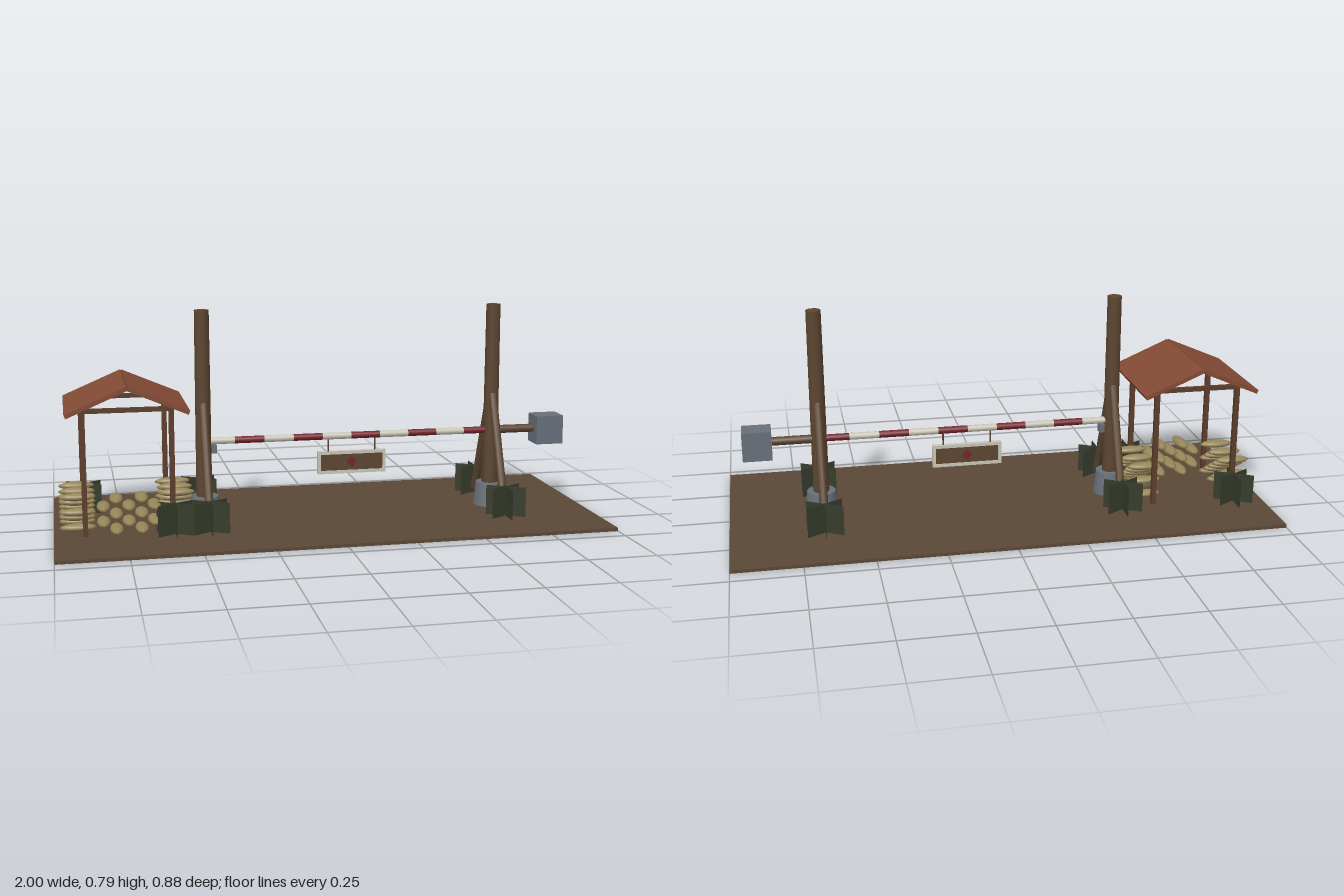
import * as THREE from 'three';

const mat = (name, color, extra = {}) => {
  const m = new THREE.MeshStandardMaterial({ color, ...extra });
  m.name = name;
  return m;
};

export function createModel() {
  const root = new THREE.Group();
  root.name = 'checkpointBarrier';
  const M = {
    earth: mat('earth', 0x5a4836),
    wood: mat('wood', 0x5c4530),
    hutWood: mat('hutWood', 0x5c3d2a),
    roof: mat('roofTiles', 0x824a34),
    stone: mat('stone', 0x68707a),
    green: mat('darkGreen', 0x363c2c, { side: THREE.DoubleSide }),
    sack: mat('sackcloth', 0x968558),
    red: mat('red', 0x74232b),
    white: mat('white', 0xc8c4b6),
  };

  const add = (parent, name, geo, m, x = 0, y = 0, z = 0) => {
    const mesh = new THREE.Mesh(geo, m);
    mesh.name = name;
    mesh.position.set(x, y, z);
    parent.add(mesh);
    return mesh;
  };
  const box = (parent, name, w, h, d, m, x, y, z) =>
    add(parent, name, new THREE.BoxGeometry(w, h, d), m, x, y, z);
  const group = (name, x = 0, y = 0, z = 0) => {
    const g = new THREE.Group();
    g.name = name;
    g.position.set(x, y, z);
    root.add(g);
    return g;
  };
  // Round bar between two points
  const rod = (parent, name, a, b, r, m) => {
    const p = new THREE.Vector3(...a), q = new THREE.Vector3(...b);
    const dir = q.clone().sub(p);
    const mesh = add(parent, name, new THREE.CylinderGeometry(r, r, dir.length(), 12), m);
    mesh.position.copy(p).add(q).multiplyScalar(0.5);
    mesh.quaternion.setFromUnitVectors(new THREE.Vector3(0, 1, 0), dir.normalize());
    return mesh;
  };

  // Ground slab
  box(root, 'ground', 2, 0.012, 0.88, M.earth, 0, 0.006, 0);

  // Bush: three upright plates crossed in a star
  const bush = (x, z) => {
    const g = group('bush', x, 0.068, z);
    for (let i = 0; i < 3; i++) {
      const p = add(g, 'bushPlate', new THREE.PlaneGeometry(0.15, 0.113), M.green);
      p.rotation.y = Math.PI / 2 + i * Math.PI / 3;
    }
  };

  // Gate posts with stone footings and two slanted braces each
  for (const x of [-0.45, 0.66]) {
    const g = group('gatePost', x);
    add(g, 'post', new THREE.CylinderGeometry(0.027, 0.03, 0.778, 12), M.wood, 0, 0.401, 0);
    add(g, 'footing', new THREE.CylinderGeometry(0.053, 0.063, 0.088, 12), M.stone, 0, 0.056, 0);
    for (const s of [-1, 1]) {
      rod(g, 'brace', [0, 0.035, s * 0.176], [0, 0.46, s * 0.008], 0.016, M.wood);
      bush(x, s * 0.19);
    }
  }
  bush(-0.575, 0.19);
  bush(-0.886, -0.19);

  // Striped barrier arm, rear pole, counterweight and catch
  const arm = group('barrierArm', 0, 0.305, 0);
  const n = 10, x0 = -0.445, step = 1.105 / n;
  for (let i = 0; i < n; i++) {
    const a = x0 + i * step;
    rod(arm, 'stripe', [a, 0, 0], [a + step, 0, 0], 0.013, i % 2 ? M.red : M.white);
  }
  rod(arm, 'rearPole', [0.66, 0, 0], [0.85, 0, 0], 0.016, M.wood);
  box(arm, 'counterweight', 0.107, 0.11, 0.088, M.stone, 0.885, -0.003, 0);
  box(arm, 'catch', 0.02, 0.03, 0.03, M.stone, -0.412, -0.03, 0);

  // Hanging sign with a pale frame and a red diamond on both faces
  const sign = group('hangingSign', 0.11, 0.204, 0);
  box(sign, 'signBoard', 0.245, 0.07, 0.01, M.wood, 0, 0, 0);
  for (const s of [-1, 1]) {
    box(sign, 'frameRail', 0.262, 0.012, 0.018, M.white, 0, s * 0.037, 0);
    box(sign, 'frameSide', 0.012, 0.062, 0.018, M.white, s * 0.125, 0, 0);
    rod(sign, 'hanger', [s * 0.09, 0.04, 0], [s * 0.09, 0.1, 0], 0.003, M.wood);
    const d = box(sign, 'diamond', 0.03, 0.03, 0.003, M.red, 0, 0, s * 0.006);
    d.rotation.z = Math.PI / 4;
  }

  // Shelter: four posts, top beams and a pitched roof
  const hut = group('shelter', -0.735);
  for (const sx of [-1, 1]) {
    for (const sz of [-1, 1])
      box(hut, 'shelterPost', 0.018, 0.45, 0.018, M.hutWood, sx * 0.155, 0.235, sz * 0.155);
    box(hut, 'sideBeam', 0.016, 0.016, 0.31, M.hutWood, sx * 0.155, 0.46, 0);
    box(hut, 'crossBeam', 0.33, 0.016, 0.016, M.hutWood, 0, 0.46, sx * 0.155);
    const slope = box(hut, 'roofSlope', 0.234, 0.015, 0.422, M.roof, sx * 0.107, 0.498, 0);
    slope.rotation.z = -sx * Math.atan2(0.09, 0.21);
  }
  box(hut, 'ridge', 0.012, 0.006, 0.42, M.hutWood, 0, 0.545, 0);

  // Sandbag walls: five staggered layers on the two sides and the front
  const bags = group('sandbags');
  const bagGeo = new THREE.SphereGeometry(1, 12, 8).scale(0.066, 0.0145, 0.024);
  for (let layer = 0; layer < 5; layer++) {
    const y = 0.028 + layer * 0.028, odd = layer % 2;
    for (const x of [-0.915, -0.56])
      for (const z of odd ? [-0.045, 0.045] : [-0.09, 0, 0.09])
        add(bags, 'sideBag', bagGeo, M.sack, x, y, z);
    for (let i = 0; i < (odd ? 3 : 2); i++) {
      const bag = add(bags, 'frontBag', bagGeo, M.sack, (odd ? -0.825 : -0.78) + i * 0.09, y, 0.135);
      bag.rotation.y = Math.PI / 2;
    }
  }
  return root;
}
